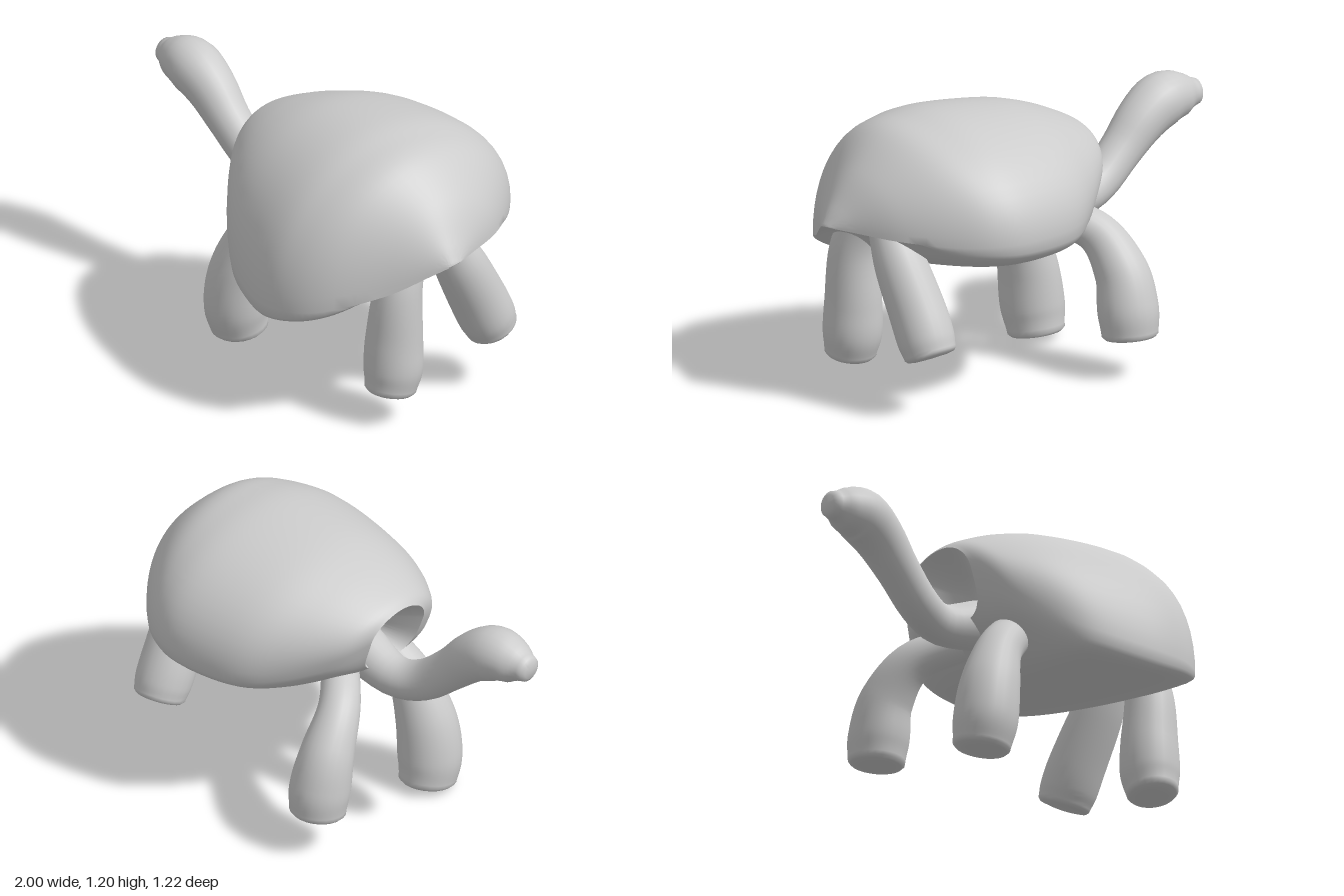
import * as THREE from 'three';
import { mergeVertices, toCreasedNormals } from 'three/addons/utils/BufferGeometryUtils.js';

const material = new THREE.MeshStandardMaterial({ color: 0xcccccc, side: THREE.DoubleSide });

// Skin a list of equal-length rings of points
function loft(name, rings) {
  const n = rings[0].length;
  const index = [];
  for (let i = 0; i < rings.length - 1; i++) {
    for (let j = 0; j < n; j++) {
      const k = (j + 1) % n;
      const a = i * n + j, b = i * n + k, c = (i + 1) * n + k, d = (i + 1) * n + j;
      index.push(a, b, c, a, c, d);
    }
  }
  let geometry = new THREE.BufferGeometry().setFromPoints(rings.flat());
  geometry.setIndex(index);
  geometry = toCreasedNormals(mergeVertices(geometry, 1e-5), 0.9);
  const mesh = new THREE.Mesh(geometry, material);
  mesh.name = name;
  return mesh;
}

// Smooth interpolation of one column of a table
function channel(rows, column) {
  const spline = new THREE.SplineCurve(rows.map((row, i) => new THREE.Vector2(i, row[column])));
  return (t) => spline.getPoint(t).y;
}

// Tapered limb along a curve; rows are [x, y, z, radius]
function limb(name, rows, rounding) {
  const steps = 28, sides = 24;
  const curve = new THREE.CatmullRomCurve3(rows.map(([x, y, z]) => new THREE.Vector3(x, y, z)), false, 'catmullrom', 0.5);
  // Arc-length lookup is switched off so positions and radii stay in step
  curve.getPointAt = curve.getPoint;
  curve.getTangentAt = curve.getTangent;
  const frames = curve.computeFrenetFrames(steps, false);
  const radius = channel(rows, 3);
  const ring = (i, scale, push) => {
    const centre = curve.getPoint(i / steps).addScaledVector(frames.tangents[i], push);
    const r = radius(i / steps) * scale;
    return Array.from({ length: sides }, (_, j) => {
      const a = (j / sides) * Math.PI * 2;
      return centre.clone()
        .addScaledVector(frames.normals[i], r * Math.cos(a))
        .addScaledVector(frames.binormals[i], r * Math.sin(a));
    });
  };
  const rings = [ring(0, 0, 0)];
  for (let i = 0; i <= steps; i++) rings.push(ring(i, 1, 0));
  // Softly rounded closing cap
  rings.push(ring(steps, 0.9, rounding * 0.6), ring(steps, 0.6, rounding * 0.9), ring(steps, 0, rounding));
  return loft(name, rings);
}

// Lopsided domed shell with a bulging belly and a hollow neck opening
function shell() {
  // x, slant, +z rim (z, y), -z rim (z, y), top, belly drop
  const rows = [
    [-0.31, 0.6, 0.17, 0.87, -0.16, 0.90, 1.0, 0.2],
    [-0.26, 0.5, 0.31, 0.76, -0.29, 0.85, 1.04, 0.16],
    [-0.1, 0.28, 0.465, 0.62, -0.45, 0.79, 1.115, 0.145],
    [0.1, 0.1, 0.55, 0.575, -0.565, 0.77, 1.175, 0.145],
    [0.38, 0, 0.61, 0.55, -0.61, 0.77, 1.205, 0.14],
    [0.55, 0, 0.59, 0.56, -0.58, 0.77, 1.195, 0.11],
    [0.7, 0, 0.49, 0.59, -0.47, 0.77, 1.155, 0.06],
    [0.85, 0, 0.28, 0.66, -0.29, 0.78, 1.02, -0.03],
    [0.95, 0, 0.13, 0.745, -0.09, 0.79, 0.88, -0.02],
    [0.995, 0, 0.06, 0.785, 0.0, 0.795, 0.805, 0],
  ];
  const channels = rows[0].map((_, c) => channel(rows, c));
  const half = 28, steps = 54;
  const section = (t) => {
    const [x, slant, zp, yp, zn, yn, top, drop] = channels.map((f) => f(t));
    const mid = (zp + zn) / 2, width = (zp - zn) / 2;
    const points = [];
    const add = (z, y) => points.push(new THREE.Vector3(x + Math.max(top - y, 0) ** 1.5 * slant, y, z));
    for (let j = 0; j < half; j++) {
      const a = (j / half) * Math.PI;
      const edge = a < Math.PI / 2 ? yn : yp;
      add(mid - width * Math.cos(a), edge + (top - edge) * Math.sin(a));
    }
    for (let j = 0; j < half; j++) {
      const a = (j / half) * Math.PI, c = Math.cos(a);
      add(mid + width * c, yn + (yp - yn) * (c + 1) / 2 - drop * Math.sqrt(Math.sin(a)));
    }
    return points;
  };
  const rings = [];
  for (let i = 0; i <= steps; i++) rings.push(section(i / steps));
  // Neck recess in front, closed tip behind
  const inside = new THREE.Vector3(-0.1, 0.84, 0);
  const recess = (s) => rings[0].map((p) => p.clone().lerp(inside, s).setX(p.x + 0.14 * Math.min(1, s * 2)));
  const front = [rings[0].map(() => new THREE.Vector3(-0.11, 0.84, 0)), recess(0.5), recess(0.12)];
  const tip = rings[steps].map(() => new THREE.Vector3(1, 0.795, 0.03));
  return loft('shell', [...front, ...rings, tip]);
}

export function createModel() {
  const group = new THREE.Group();
  group.name = 'turtle';
  group.add(shell());

  // Neck rising into the head
  group.add(limb('neckAndHead', [
    [-0.06, 0.73, 0, 0.11],
    [-0.28, 0.67, -0.012, 0.088],
    [-0.43, 0.7, 0.015, 0.088],
    [-0.57, 0.81, 0.035, 0.092],
    [-0.69, 0.92, 0.045, 0.108],
    [-0.8, 0.98, 0.055, 0.117],
    [-0.9, 0.983, 0.06, 0.095],
    [-0.965, 0.98, 0.06, 0.062],
  ], 0.035));

  // Four splayed legs
  const legs = {
    frontLegLeft: [
      [-0.06, 0.63, 0.18, 0.09],
      [-0.17, 0.5, 0.215, 0.1],
      [-0.235, 0.32, 0.235, 0.128],
      [-0.26, 0.15, 0.235, 0.137],
      [-0.265, 0.035, 0.215, 0.122],
    ],
    frontLegRight: [
      [-0.08, 0.68, -0.12, 0.08],
      [-0.21, 0.6, -0.27, 0.09],
      [-0.25, 0.45, -0.385, 0.115],
      [-0.25, 0.3, -0.43, 0.13],
      [-0.25, 0.19, -0.445, 0.12],
    ],
    rearLegLeft: [
      [0.74, 0.82, 0.07, 0.08],
      [0.755, 0.62, 0.145, 0.102],
      [0.745, 0.38, 0.16, 0.122],
      [0.745, 0.25, 0.165, 0.126],
      [0.745, 0.155, 0.18, 0.11],
    ],
    rearLegRight: [
      [0.76, 0.82, -0.07, 0.08],
      [0.755, 0.64, -0.17, 0.11],
      [0.74, 0.44, -0.275, 0.122],
      [0.737, 0.34, -0.325, 0.122],
      [0.735, 0.28, -0.353, 0.112],
    ],
  };
  for (const [name, rows] of Object.entries(legs)) group.add(limb(name, rows, 0.02));
  return group;
}
